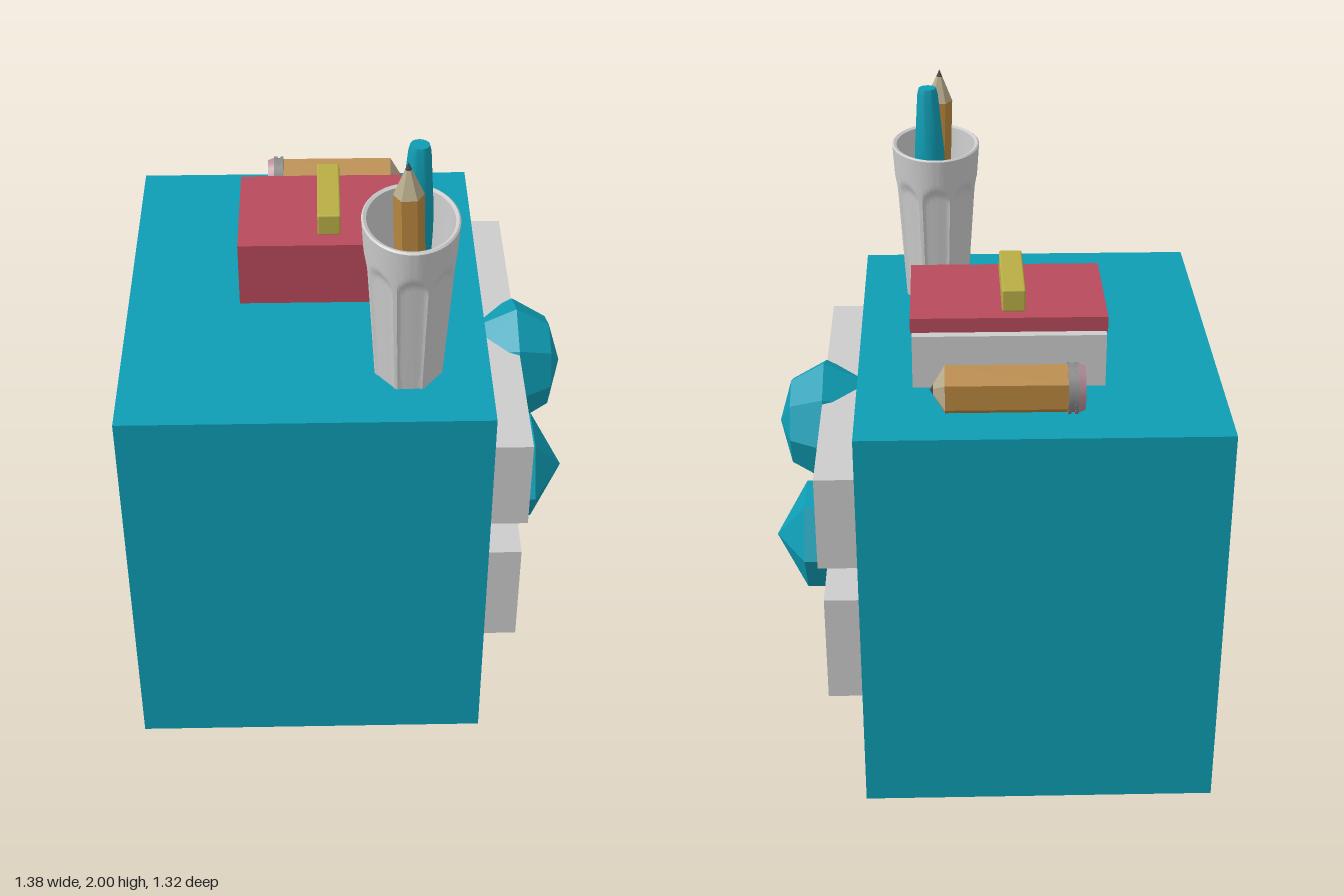
import * as THREE from 'three';
import { toCreasedNormals } from 'three/addons/utils/BufferGeometryUtils.js';
import { RoundedBoxGeometry } from 'three/addons/geometries/RoundedBoxGeometry.js';

const mat = (color, opts = {}) => new THREE.MeshStandardMaterial({ color, ...opts });
const GREY = 0xcccccc, TEAL = 0x0e9db4, RED = 0xb84a5c, YELLOW = 0xb8ad45, WOOD = 0xb8873f;

function add(parent, name, geometry, material) {
  const mesh = new THREE.Mesh(geometry, material);
  mesh.name = name;
  parent.add(mesh);
  return mesh;
}

// Box given by its limits on each axis
function box(parent, name, color, [x0, x1], [y0, y1], [z0, z1]) {
  const g = new THREE.BoxGeometry(x1 - x0, y1 - y0, z1 - z0);
  const mesh = add(parent, name, g, mat(color));
  mesh.position.set((x0 + x1) / 2, (y0 + y1) / 2, (z0 + z1) / 2);
  return mesh;
}

// Faceted knob turned about the x axis; profile holds [radius, x]
function knob(parent, name, profile, sides, y, z) {
  const g = new THREE.LatheGeometry(profile.map(([r, x]) => new THREE.Vector2(r, x)), sides);
  g.rotateZ(-Math.PI / 2);
  add(parent, name, g, mat(TEAL, { flatShading: true })).position.set(0, y, z);
}

// Hexagonal pencil standing on its eraser, pointing along +y
function pencil(parent, name, r, ferrule, body, tip) {
  const group = new THREE.Group();
  group.name = name;
  parent.add(group);
  let y = 0;
  const piece = (part, color, top, bottom, h, sides, flat) => {
    const g = new THREE.CylinderGeometry(top, bottom, h, sides, 1, false, Math.PI / 2);
    add(group, part, g, mat(color, { flatShading: flat })).position.y = y + h / 2;
    y += h;
  };
  piece('eraserEnd', 0xb98f9b, r * 0.95, r * 0.85, ferrule * 0.4, 24, false);
  for (let i = 0; i < 3; i++) {
    piece('ferruleBand', 0x8a8a8a, r * (i === 1 ? 0.93 : 1), r * (i === 1 ? 0.93 : 1), ferrule * 0.2, 24, false);
  }
  piece('pencilBody', WOOD, r, r, body, 6, true);
  piece('sharpenedWood', 0xb8ab8c, r * 0.22, r, tip * 0.78, 6, true);
  piece('lead', 0x4a4a4a, 0, r * 0.22, tip * 0.22, 6, true);
  return group;
}

// Oval tumbler with eight arched flutes pressed into its outer wall
function cupGeometry() {
  const H = 0.5, STEPS = 40, FLUTES = 8;
  const outer = (y) => 0.105 + 0.033 * y / H;
  const profile = [new THREE.Vector2(0, 0)];
  for (let i = 0; i <= STEPS; i++) profile.push(new THREE.Vector2(outer(H * i / STEPS), H * i / STEPS));
  profile.push(new THREE.Vector2(0.133, H + 0.004), new THREE.Vector2(0.124, H));
  profile.push(new THREE.Vector2(0.094, 0.03), new THREE.Vector2(0, 0.03));
  const g = new THREE.LatheGeometry(profile, 128);
  const p = g.attributes.position;
  for (let i = 0; i < p.count; i++) {
    const x = p.getX(i), y = p.getY(i), z = p.getZ(i), r = Math.hypot(x, z);
    if (r > outer(y) - 0.002 && y < H) {
      const turn = Math.atan2(x, z) / (2 * Math.PI) * FLUTES;
      const u = (turn - Math.round(turn)) * 2 / 0.86;
      if (Math.abs(u) < 1) {
        const arch = 0.405 - 0.05 * (1 - Math.sqrt(1 - u * u));
        const fade = THREE.MathUtils.clamp((arch - y) / 0.02, 0, 1);
        const k = 1 - 0.075 * fade * Math.sqrt(1 - u * u);
        p.setX(i, x * k);
        p.setZ(i, z * k);
      }
    }
  }
  g.scale(1, 1, 1.31);
  return toCreasedNormals(g, 0.6);
}

export function createModel() {
  const model = new THREE.Group();
  model.name = 'drawerCabinet';

  // Cabinet with an open bay at the bottom
  const cabinet = new THREE.Group();
  cabinet.name = 'cabinet';
  model.add(cabinet);
  box(cabinet, 'cabinetBody', TEAL, [-0.69, 0.39], [0.31, 1.28], [-0.66, 0.66]);
  box(cabinet, 'cabinetBack', TEAL, [-0.69, -0.57], [0, 0.31], [-0.66, 0.66]);
  box(cabinet, 'sideWallRight', TEAL, [-0.57, 0.39], [0, 0.31], [-0.66, -0.62]);
  box(cabinet, 'sideWallLeft', TEAL, [-0.57, 0.39], [0, 0.31], [0.615, 0.66]);
  box(cabinet, 'bottomBoard', GREY, [-0.57, 0.388], [0.002, 0.075], [-0.6, 0.6]);

  // Drawer fronts and knobs
  box(model, 'upperDrawer', GREY, [0.38, 0.51], [0.82, 1.12], [-0.6, 0.59]);
  box(model, 'lowerDrawer', GREY, [0.38, 0.495], [0.37, 0.72], [-0.62, 0.61]);
  knob(model, 'upperKnob', [[0, 0.36], [0.14, 0.39], [0.2, 0.51], [0.14, 0.615], [0, 0.655]], 8, 0.99, 0.01);
  knob(model, 'lowerKnob', [[0, 0.48], [0.175, 0.48], [0.175, 0.59], [0, 0.69]], 6, 0.555, 0.02);

  // Book with its spine to the front
  const book = new THREE.Group();
  book.name = 'book';
  model.add(book);
  box(book, 'pages', GREY, [-0.345, 0.225], [1.28, 1.445], [-0.338, 0.068]);
  box(book, 'cover', RED, [-0.35, 0.23], [1.443, 1.49], [-0.31, 0.084]);
  box(book, 'spine', RED, [-0.35, 0.23], [1.28, 1.443], [0.07, 0.084]);

  // Small rubber on the book
  const rubber = new RoundedBoxGeometry(0.07, 0.07, 0.3, 2, 0.006);
  add(model, 'rubber', rubber, mat(YELLOW)).position.set(-0.075, 1.525, -0.12);

  // Pencil lying on the cabinet
  const lying = pencil(model, 'lyingPencil', 0.077, 0.05, 0.35, 0.043);
  lying.rotation.z = -Math.PI / 2;
  lying.scale.z = 0.86;
  lying.position.set(-0.27, 1.358, -0.503);

  // Cup holding a pencil and a pen
  add(model, 'cup', cupGeometry(), mat(GREY, { side: THREE.DoubleSide })).position.set(0.15, 1.28, 0.385);
  const standing = pencil(model, 'standingPencil', 0.043, 0.08, 0.5, 0.1);
  standing.rotation.z = 0.03;
  standing.position.set(0.156, 1.32, 0.45);

  const pen = new THREE.Group();
  pen.name = 'pen';
  pen.position.set(0.16, 1.31, 0.325);
  pen.rotation.z = -0.02;
  model.add(pen);
  const penProfile = [[0, 0], [0.04, 0], [0.048, 0.4], [0.046, 0.47], [0.032, 0.65], [0.027, 0.67], [0, 0.67]];
  const penGeometry = new THREE.LatheGeometry(penProfile.map(([r, y]) => new THREE.Vector2(r, y)), 24);
  add(pen, 'penBody', toCreasedNormals(penGeometry, 0.6), mat(TEAL));
  box(pen, 'penClip', TEAL, [-0.02, 0.02], [0.2, 0.43], [-0.062, -0.03]);

  return model;
}
